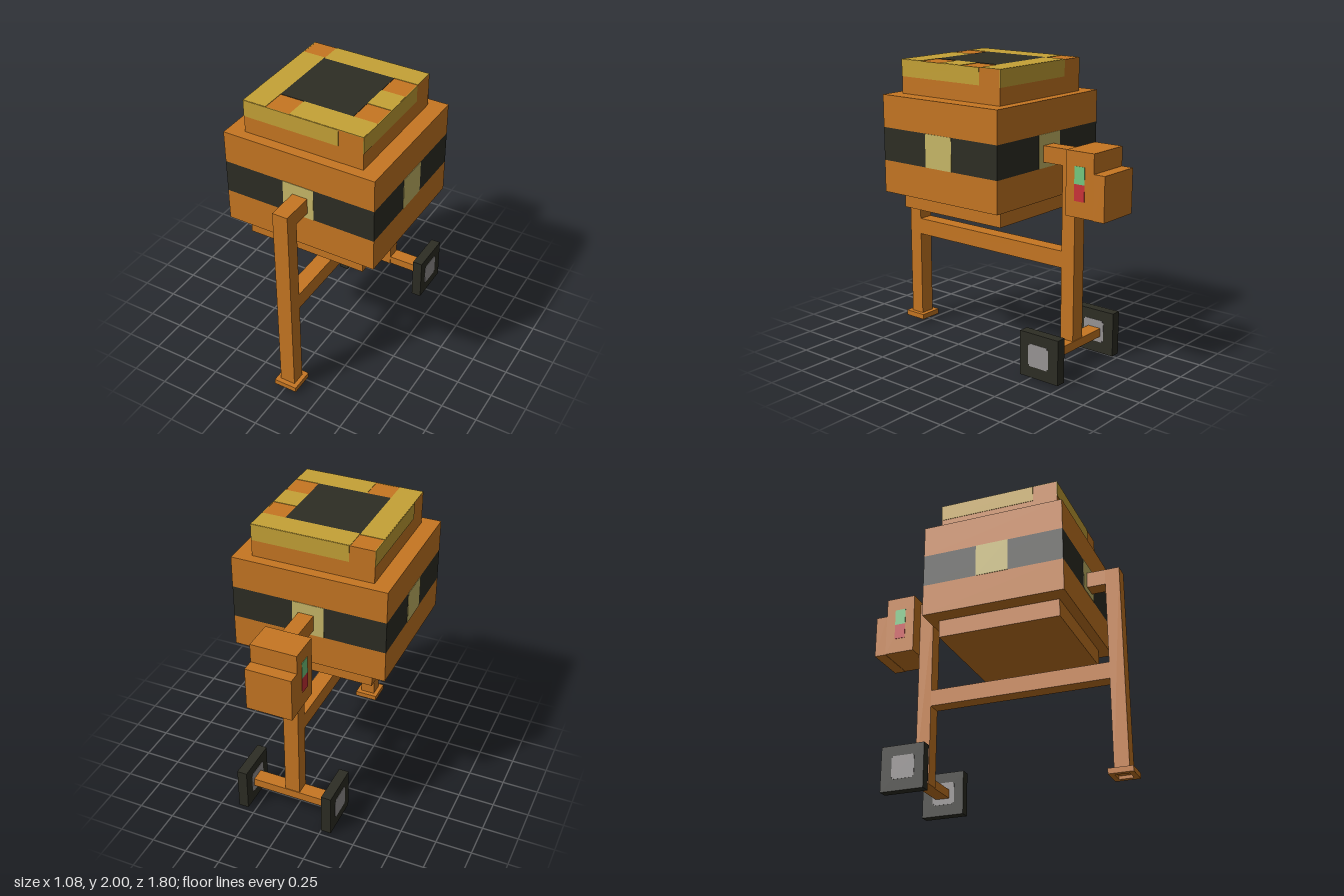
import * as THREE from 'three';

const mat = (name, color) => {
  const m = new THREE.MeshStandardMaterial({ color });
  m.name = name;
  return m;
};

export function createModel() {
  const orange = mat('orange paint', 0xc67622);
  const yellow = mat('yellow residue', 0xc5a236);
  const dark = mat('dark rubber', 0x2d2d24);
  const cream = mat('cream patch', 0xc8b868);
  const grey = mat('grey hub', 0x989494);
  const green = mat('green button', 0x74c97f);
  const red = mat('red button', 0xcc3238);

  const model = new THREE.Group();
  model.name = 'cementMixer';

  // Box given by its limits along each axis
  const box = (name, material, [x0, x1], [y0, y1], [z0, z1], parent = model) => {
    const mesh = new THREE.Mesh(new THREE.BoxGeometry(x1 - x0, y1 - y0, z1 - z0), material);
    mesh.position.set((x0 + x1) / 2, (y0 + y1) / 2, (z0 + z1) / 2);
    mesh.name = name;
    parent.add(mesh);
    return mesh;
  };

  // Drum: wide body in three layers, narrower base and neck
  const drum = new THREE.Group();
  drum.name = 'drum';
  model.add(drum);
  const W = 0.535, ZB = -0.345, ZF = 0.64, ZC = 0.1475;
  const C = 0.42, CB = -0.275, CF = 0.57, T = 0.003;
  box('drumBase', orange, [-C, C], [0.985, 1.105], [CB, CF], drum);
  box('drumLower', orange, [-W, W], [1.105, 1.325], [ZB, ZF], drum);
  box('drumBand', dark, [-W, W], [1.325, 1.55], [ZB, ZF], drum);
  box('drumUpper', orange, [-W, W], [1.55, 1.77], [ZB, ZF], drum);
  box('drumNeck', orange, [-C, C], [1.77, 1.997], [CB, CF], drum);

  // Cream patch in the middle of the band on all four sides
  const band = [1.325, 1.55];
  for (const z of [ZF, ZB]) box('bandPatch', cream, [-0.11, 0.11], band, [z - T, z + T], drum);
  for (const x of [W, -W]) box('bandPatch', cream, [x - T, x + T], band, [ZC - 0.1125, ZC + 0.1125], drum);

  // Residue on the neck sides, always starting at the viewer's left corner
  const rim = [1.885, 1.998], gap = 0.17;
  box('neckResidue', yellow, [-C, C - gap], rim, [CF - T, CF + T], drum);
  box('neckResidue', yellow, [-C + gap, C], rim, [CB - T, CB + T], drum);
  box('neckResidue', yellow, [C - T, C + T], rim, [CB + gap, CF], drum);
  box('neckResidue', yellow, [-C - T, -C + T], rim, [CB, CF - gap], drum);

  // Neck top: dark mouth surrounded by patches of residue
  const top = [1.994, 2];
  box('drumMouth', dark, [-0.258, 0.255], top, [-0.115, 0.4], drum);
  [
    [[-0.255, C], [CB, -0.115]],
    [[-C, -0.258], [-0.125, CF]],
    [[-0.09, C], [0.4, CF]],
    [[0.255, C], [0.05, 0.23]],
  ].forEach(([x, z]) => box('topResidue', yellow, x, top, z, drum));

  // Frame: posts, drum arms and crossbar
  const frame = new THREE.Group();
  frame.name = 'frame';
  model.add(frame);
  const P = [-0.04, 0.067], arm = [1.365, 1.475];
  box('frontPost', orange, P, [0.045, 1.475], [0.77, 0.87], frame);
  box('rearPost', orange, P, [0.12, 1.475], [-0.605, -0.503], frame);
  box('frontArm', orange, P, arm, [ZF, 0.77], frame);
  box('rearArm', orange, P, arm, [-0.503, ZB], frame);
  box('crossbar', orange, P, [0.675, 0.79], [-0.503, 0.77], frame);

  // Foot: square collar, recessed underneath
  const square = (Shape, h) => new Shape([[-h, -h], [h, -h], [h, h], [-h, h]].map(p => new THREE.Vector2(...p)));
  const collar = square(THREE.Shape, 0.083);
  collar.holes.push(square(THREE.Path, 0.048));
  const foot = new THREE.Mesh(new THREE.ExtrudeGeometry(collar, { depth: 0.037, bevelEnabled: false }), orange);
  foot.rotation.x = -Math.PI / 2;
  foot.position.set(0.0135, 0.023, 0.82);
  foot.name = 'foot';
  frame.add(foot);

  // Axle and square wheels with hub plates on both faces
  box('axle', orange, [-0.25, 0.307], [0.12, 0.18], [-0.61, -0.51]);
  for (const [x0, x1] of [[-0.32, -0.25], [0.307, 0.377]]) {
    const wheel = new THREE.Group();
    wheel.name = 'wheel';
    model.add(wheel);
    box('tyre', dark, [x0, x1], [0, 0.307], [-0.712, -0.406], wheel);
    for (const x of [x0, x1]) {
      box('hub', grey, [x - 0.002, x + 0.002], [0.078, 0.235], [-0.625, -0.483], wheel);
      box('hub', grey, [x - 0.002, x + 0.002], [0.09, 0.223], [-0.635, -0.473], wheel);
    }
  }

  // Motor housing with a lower rear step and buttons on both sides
  const motor = new THREE.Group();
  motor.name = 'motor';
  model.add(motor);
  const M = [-0.145, 0.17];
  box('motorHousing', orange, M, [1.073, 1.5], [-0.818, -0.605], motor);
  box('motorStep', orange, M, [1.07, 1.37], [-0.9, -0.818], motor);
  for (const x of M) {
    const side = [x - T, x + T];
    box('startButton', green, side, [1.29, 1.405], [-0.75, -0.672], motor);
    box('stopButton', red, side, [1.18, 1.29], [-0.75, -0.672], motor);
  }

  return model;
}
